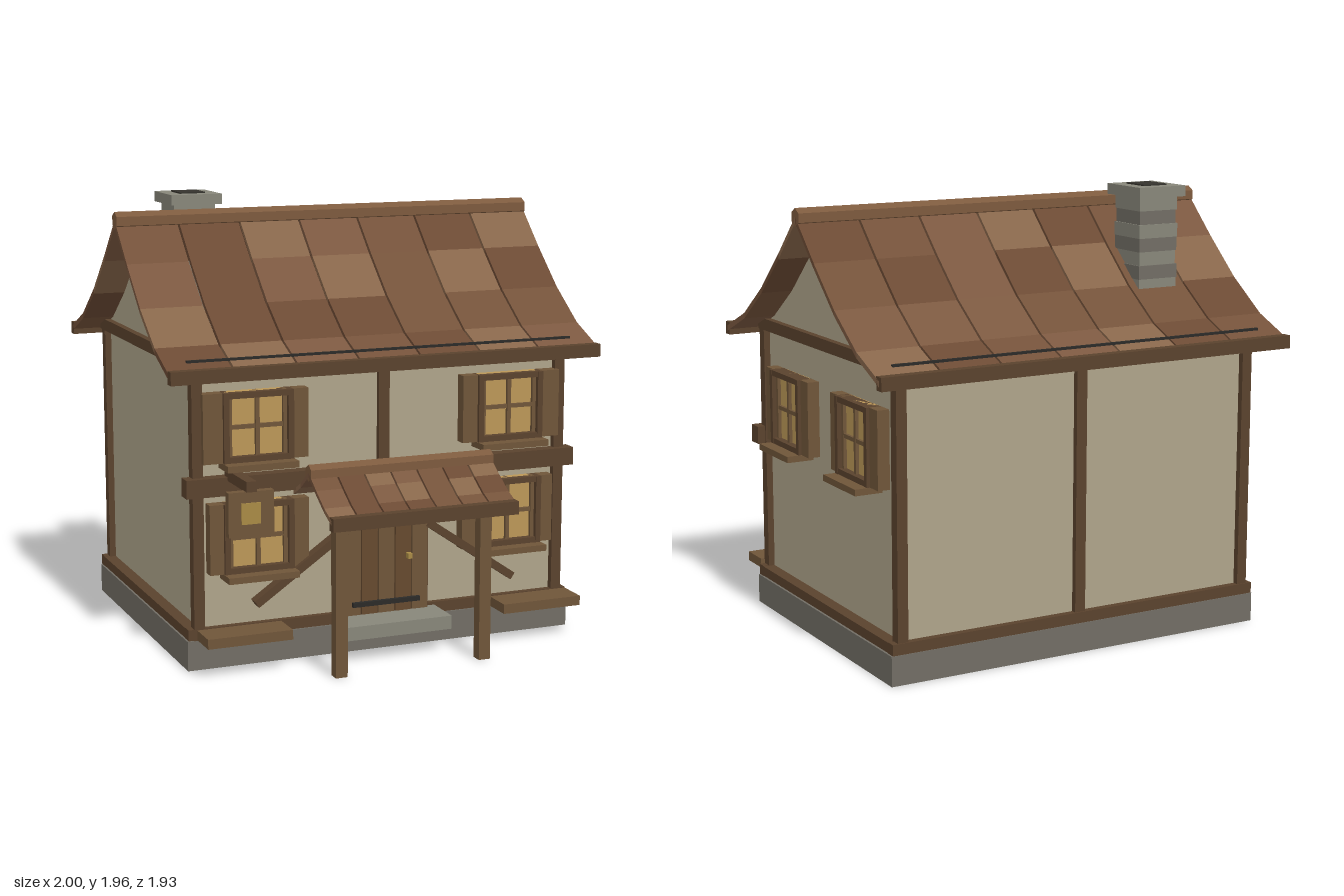
import * as THREE from 'three';

const ZC = -0.175; // centre line of the house body
const C = {
  wall: 0xaea48a, dark: 0x5a422d, wood: 0x6f5539, plank: 0x66492f, ridge: 0x7d5a3e,
  stone: 0x716d64, paleStone: 0x87867a, soot: 0x35332d, glass: 0xbb9757, iron: 0x2b2a28, gold: 0xa88a45,
};
const ROOF = [0x7b5840, 0x74523a, 0x6c4a34, 0x87664a];
const mats = {};
const mat = (color) => (mats[color] ??= new THREE.MeshStandardMaterial({ color, flatShading: true, side: THREE.DoubleSide }));

function add(parent, name, geometry, color) {
  const mesh = new THREE.Mesh(geometry, mat(color));
  mesh.name = name;
  parent.add(mesh);
  return mesh;
}

// Box given by its min and max on each axis
function box(parent, name, color, x0, x1, y0, y1, z0, z1) {
  const mesh = add(parent, name, new THREE.BoxGeometry(x1 - x0, y1 - y0, z1 - z0), color);
  mesh.position.set((x0 + x1) / 2, (y0 + y1) / 2, (z0 + z1) / 2);
  return mesh;
}

function group(parent, name) {
  const g = new THREE.Group();
  g.name = name;
  parent.add(g);
  return g;
}

// Extrudes a (z, y) outline along x from x0 to x1
function extrudeX(points, x0, x1) {
  const shape = new THREE.Shape(points.map(([z, y]) => new THREE.Vector2(z, y)));
  const geo = new THREE.ExtrudeGeometry(shape, { depth: x1 - x0, bevelEnabled: false });
  return geo.rotateY(-Math.PI / 2).translate(x1, 0, 0);
}

// Hexagonal pole along x
function ridgePole(parent, halfLength, r, y, z) {
  const geo = new THREE.CylinderGeometry(r, r, halfLength * 2, 6).rotateY(Math.PI / 6).rotateZ(Math.PI / 2);
  add(parent, 'ridgePole', geo, C.ridge).position.set(0, y, z);
}

// One sagging roof slope: columns of tiles with narrow gaps, following [distance, height] points
function roofSlope(parent, profile, side, z, half, columns, thick, gap) {
  const w = (half * 2) / columns;
  for (let c = 0; c < columns; c++) {
    for (let r = 0; r < profile.length - 1; r++) {
      const [d0, y0] = profile[r], [d1, y1] = profile[r + 1];
      const quad = [[d0, y0], [d1, y1], [d1, y1 - thick], [d0, y0 - thick]].map(([d, y]) => [z + side * d, y]);
      const x0 = -half + c * w + (c ? gap / 2 : 0);
      const x1 = -half + (c + 1) * w - (c < columns - 1 ? gap / 2 : 0);
      add(parent, 'roofTile', extrudeX(quad, x0, x1), ROOF[(c * 5 + r * 3 + (c * r) % 3 + (side > 0 ? 1 : 0)) % 4]);
    }
  }
}

// Window facing +z, with its back on the wall at z = 0
function makeWindow(parent, name, w, h, shutterL, shutterR) {
  const g = group(parent, name);
  const a = w / 2, b = h / 2, t = 0.025;
  box(g, 'glass', C.glass, -a, a, -b, b, 0, 0.035);
  for (const s of [-1, 1]) {
    box(g, 'frameSide', C.dark, s * a - t / 2, s * a + t / 2, -b, b, 0, 0.07);
    box(g, 'frameRail', C.dark, -a, a, s * (b - t / 2) - t / 2, s * (b - t / 2) + t / 2, 0, 0.068);
    box(g, 'sashSide', C.wood, s * (a - 0.02) - 0.01, s * (a - 0.02) + 0.01, -b, b, 0, 0.05);
  }
  box(g, 'mullion', C.wood, -0.009, 0.009, -b, b, 0, 0.05);
  box(g, 'crossBar', C.wood, -a, a, -0.009, 0.009, 0, 0.048);
  box(g, 'windowSill', C.wood, -a - 0.015, a + 0.015, -b - 0.028, -b, 0, 0.125);
  box(g, 'shutter', C.wood, -a - shutterL, -a - 0.01, -b, b, 0, 0.055);
  box(g, 'shutter', C.wood, a + 0.01, a + shutterR, -b, b, 0, 0.055);
  return g;
}

export function createModel() {
  const house = new THREE.Group();
  house.name = 'house';

  // Foundation and walls
  box(house, 'foundation', C.stone, -0.91, 0.91, 0, 0.13, -0.855, 0.51);
  box(house, 'walls', C.wall, -0.85, 0.85, 0.13, 1.3, -0.825, 0.48);

  // Timber frame
  const frame = group(house, 'timberFrame');
  for (const s of [-1, 1]) {
    for (const z of [-0.828, 0.485]) {
      box(frame, 'cornerPost', C.dark, s * 0.855 - 0.024, s * 0.855 + 0.024, 0.13, 1.3, z - 0.024, z + 0.024);
    }
    const z = s > 0 ? 0.485 : -0.835;
    box(frame, 'sillBeam', C.dark, -0.905, 0.905, 0.132, 0.18, z - 0.022, z + 0.022);
    box(frame, 'sideSillBeam', C.dark, s * 0.875 - 0.03, s * 0.875 + 0.03, 0.134, 0.178, -0.85, 0.5);
    box(frame, 'topBeam', C.dark, -0.88, 0.88, 1.27, 1.335, z - 0.025, z + 0.025);
    box(frame, 'sideTopBeam', C.dark, s * 0.86 - 0.025, s * 0.86 + 0.025, 1.29, 1.343, -0.86, 0.51);
  }
  box(frame, 'floorBeam', C.dark, -0.915, 0.915, 0.76, 0.84, 0.47, 0.54);
  box(frame, 'frontMiddlePost', C.dark, -0.025, 0.025, 0.84, 1.28, 0.47, 0.505);
  box(frame, 'backMiddlePost', C.dark, -0.025, 0.025, 0.15, 1.28, -0.85, -0.8);
  for (const s of [-1, 1]) {
    const brace = add(frame, 'diagonalBrace', new THREE.BoxGeometry(0.5, 0.035, 0.05), C.dark);
    brace.position.set(s * 0.405, 0.415, 0.53);
    brace.rotation.z = -s * 0.6;
  }

  // Main roof
  const profile = [[0, 1.87], [0.18, 1.695], [0.37, 1.525], [0.57, 1.385], [0.77, 1.3]];
  const roof = group(house, 'roof');
  for (const s of [-1, 1]) {
    roofSlope(roof, profile, s, ZC, 1, 7, 0.025, 0.01);
    const ze = ZC + s * 0.768;
    box(roof, 'eaveBeam', C.dark, -1, 1, 1.26, 1.317, ze - 0.022, ze + 0.022);
    const zr = ZC + s * 0.685;
    box(roof, 'eaveRod', C.iron, -0.9, 0.9, 1.332, 1.344, zr - 0.006, zr + 0.006);
    // Thin gable panel under the sagging roof line
    const under = profile.slice(0, 4).map(([d, y]) => [d, y - 0.02]);
    under.push([0.65, 1.32]);
    const outline = [...under.map(([d, y]) => [ZC + d, y]), ...under.slice(1).reverse().map(([d, y]) => [ZC - d, y])];
    add(house, 'gable', extrudeX(outline, s * 0.84 - 0.015, s * 0.84 + 0.015), C.wall);
  }
  ridgePole(roof, 1, 0.04, 1.867, ZC);

  // Chimney of uneven stone courses
  const chimney = group(house, 'chimney');
  const cx = -0.565, cz = -0.47;
  for (let i = 0; i < 9; i++) {
    const r = [0.1, 0.094, 0.098][i % 3], y = 1.37 + i * 0.06;
    box(chimney, 'stoneCourse', i % 2 ? C.stone : C.paleStone, cx - r, cx + r, y, y + 0.06, cz - r, cz + r);
  }
  box(chimney, 'chimneyCap', C.paleStone, cx - 0.12, cx + 0.12, 1.91, 1.957, cz - 0.13, cz + 0.13);
  box(chimney, 'flue', C.soot, cx - 0.06, cx + 0.06, 1.92, 1.963, cz - 0.068, cz + 0.068);

  // Windows
  for (const s of [-1, 1]) {
    const inner = 0.083;
    for (const [name, y, h, outer] of [['upperWindow', 1.05, 0.3, 0.1], ['lowerWindow', 0.57, 0.305, 0.075]]) {
      const win = makeWindow(house, name, 0.29, h, s < 0 ? outer : inner, s < 0 ? inner : outer);
      win.position.set(s * 0.593, y, 0.48);
    }
    const side = makeWindow(house, 'sideWindow', 0.275, 0.335, 0.085, 0.085);
    side.rotation.y = Math.PI / 2;
    side.position.set(0.85, 0.967, ZC + s * 0.337);
  }

  // Door
  const door = group(house, 'door');
  box(door, 'doorFrame', C.dark, -0.21, 0.205, 0.08, 0.68, 0.47, 0.525);
  for (let i = 0; i < 5; i++) {
    const x = -0.2 + i * 0.08;
    box(door, 'doorPlank', i % 2 ? C.plank : C.wood, x + 0.003, x + 0.077, 0.17, 0.67, 0.5, 0.537);
  }
  for (const y of [0.22, 0.63]) box(door, 'ironStrap', C.iron, -0.165, 0.155, y - 0.01, y + 0.01, 0.53, 0.555);
  box(door, 'handle', C.gold, 0.092, 0.112, 0.408, 0.432, 0.53, 0.565);
  box(house, 'doorStep', C.paleStone, -0.25, 0.245, 0.108, 0.168, 0.5, 0.692);

  // Low benches beside the door
  for (const s of [-1, 1]) box(house, 'bench', C.wood, s * 0.69 - 0.19, s * 0.69 + 0.19, 0.147, 0.19, 0.55, 0.695);

  // Porch
  const porch = group(house, 'porch');
  const pz = 0.685;
  roofSlope(porch, [[0, 0.865], [0.09, 0.805], [0.18, 0.75], [0.26, 0.715]], 1, pz, 0.425, 7, 0.02, 0.008);
  roofSlope(porch, [[0, 0.865], [0.09, 0.8], [0.175, 0.755]], -1, pz, 0.425, 7, 0.02, 0.008);
  ridgePole(porch, 0.425, 0.037, 0.862, pz);
  box(porch, 'porchEave', C.dark, -0.425, 0.425, 0.67, 0.727, 0.923, 0.965);
  for (const s of [-1, 1]) box(porch, 'porchPost', C.wood, s * 0.335 - 0.027, s * 0.335 + 0.027, 0, 0.69, 0.785, 0.837);

  // Hanging sign on an arm
  const sign = group(house, 'hangingSign');
  box(sign, 'signArm', C.dark, -0.733, -0.687, 0.825, 0.87, 0.5, 0.775);
  box(sign, 'signBoard', C.wood, -0.81, -0.61, 0.637, 0.827, 0.733, 0.77);
  box(sign, 'signPanel', C.gold, -0.755, -0.67, 0.69, 0.78, 0.76, 0.776);

  return house;
}
